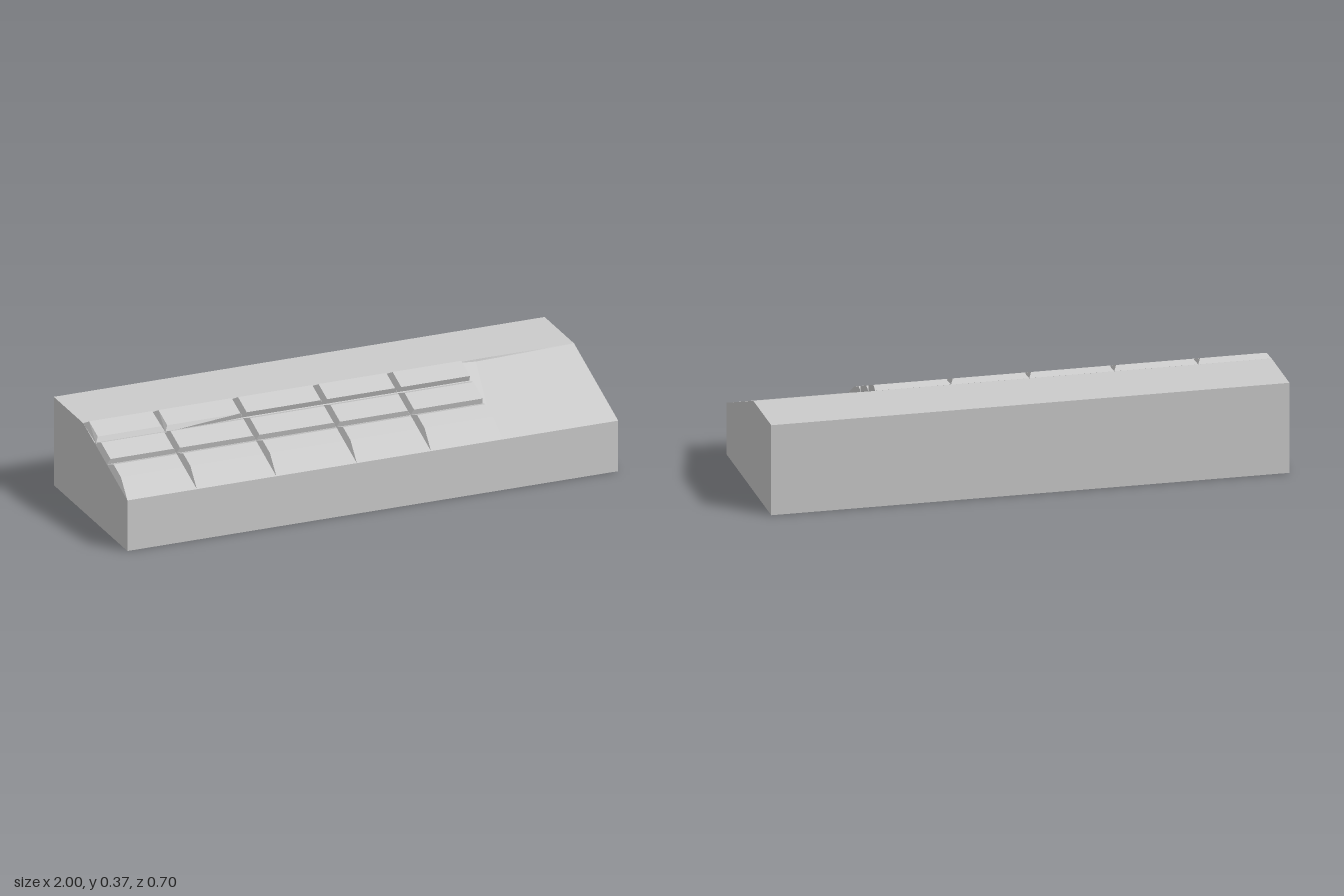
import * as THREE from 'three';
import { ConvexGeometry } from 'three/addons/geometries/ConvexGeometry.js';

const HALF_Z = 0.352, BASE = 0.006;
const material = new THREE.MeshStandardMaterial({ color: 0xcccccc, flatShading: true });

function addMesh(parent, name, geometry) {
  const mesh = new THREE.Mesh(geometry, material);
  mesh.name = name;
  parent.add(mesh);
}

// Wedge block: a [z, y] side profile run along x, with a shallow dip below the ridge
function bodyGeometry() {
  const profile = [
    [HALF_Z, BASE], [HALF_Z, 0.205], [-0.069, 0.3575],
    [-0.071, 0.358], [-HALF_Z, 0.358], [-HALF_Z, BASE],
  ];
  const shape = new THREE.Shape(profile.map(([z, y]) => new THREE.Vector2(-z, y)));
  const geometry = new THREE.ExtrudeGeometry(shape, { depth: 2, steps: 20, bevelEnabled: false });
  geometry.rotateY(Math.PI / 2).translate(-1, 0, 0);
  const p = geometry.attributes.position;
  for (let i = 0; i < p.count; i++) {
    const x = p.getX(i);
    const underRidge = Math.abs(p.getZ(i) + 0.069) < 0.0005;
    if (underRidge && x > 0.55 && x < 0.95) p.setY(i, p.getY(i) - 0.008 * (1 - (x - 0.6) / 0.4));
  }
  geometry.computeVertexNormals();
  return geometry;
}

// Thin bottom plate with a shallow rectangular recess near one corner
function plateGeometry() {
  const rect = (Type, x0, x1, z0, z1) => new Type([
    new THREE.Vector2(x0, z0), new THREE.Vector2(x1, z0),
    new THREE.Vector2(x1, z1), new THREE.Vector2(x0, z1),
  ]);
  const shape = rect(THREE.Shape, -1, 1, -HALF_Z, HALF_Z);
  shape.holes.push(rect(THREE.Path, 0.8, 0.99, -0.342, -0.08));
  const geometry = new THREE.ExtrudeGeometry(shape, { depth: BASE, bevelEnabled: false });
  return geometry.rotateX(Math.PI / 2).translate(0, BASE, 0);
}

// Raised pad: foot, front crest, back crest, heel as [z, y]; crests are inset along x
function padGeometry(profile, x0, x1, insetL, insetR, footShiftL = 0, footShiftR = 0) {
  const points = [];
  profile.forEach(([z, y], i) => {
    const crest = i === 1 || i === 2;
    const foot = i === 0;
    points.push(
      new THREE.Vector3(x0 + (crest ? insetL : 0), y, z + (foot ? footShiftL : 0)),
      new THREE.Vector3(x1 - (crest ? insetR : 0), y, z + (foot ? footShiftR : 0)),
    );
  });
  return new ConvexGeometry(points);
}

export function createModel() {
  const group = new THREE.Group();
  group.name = 'slopedBlock';
  addMesh(group, 'body', bodyGeometry());
  addMesh(group, 'bottomPlate', plateGeometry());

  // Three rows of pads climbing the slope
  const rows = [
    { name: 'frontPad', profile: [[0.352, 0.205], [0.26, 0.262], [0.19, 0.287], [0.155, 0.276]] },
    { name: 'middlePad', profile: [[0.155, 0.276], [0.16, 0.298], [0.07, 0.331], [0.035, 0.32]] },
    { name: 'backPad', profile: [[0.03, 0.321], [0.038, 0.343], [-0.045, 0.373], [-0.07, 0.358]] },
  ];
  const edges = [-1, -0.717, -0.393, -0.065, 0.237, 0.53];
  // The foot of the back row swells forward over the first two columns
  const footShift = [0.022, 0.022, 0, 0, 0, 0];
  for (const { name, profile } of rows) {
    const row = new THREE.Group();
    row.name = name + 'Row';
    for (let c = 0; c < 5; c++) {
      const swell = name === 'backPad' ? 1 : 0;
      addMesh(row, name, padGeometry(profile, edges[c], edges[c + 1],
        0.013, c === 4 ? 0 : 0.013, swell * footShift[c], swell * footShift[c + 1]));
    }
    group.add(row);
  }
  return group;
}
